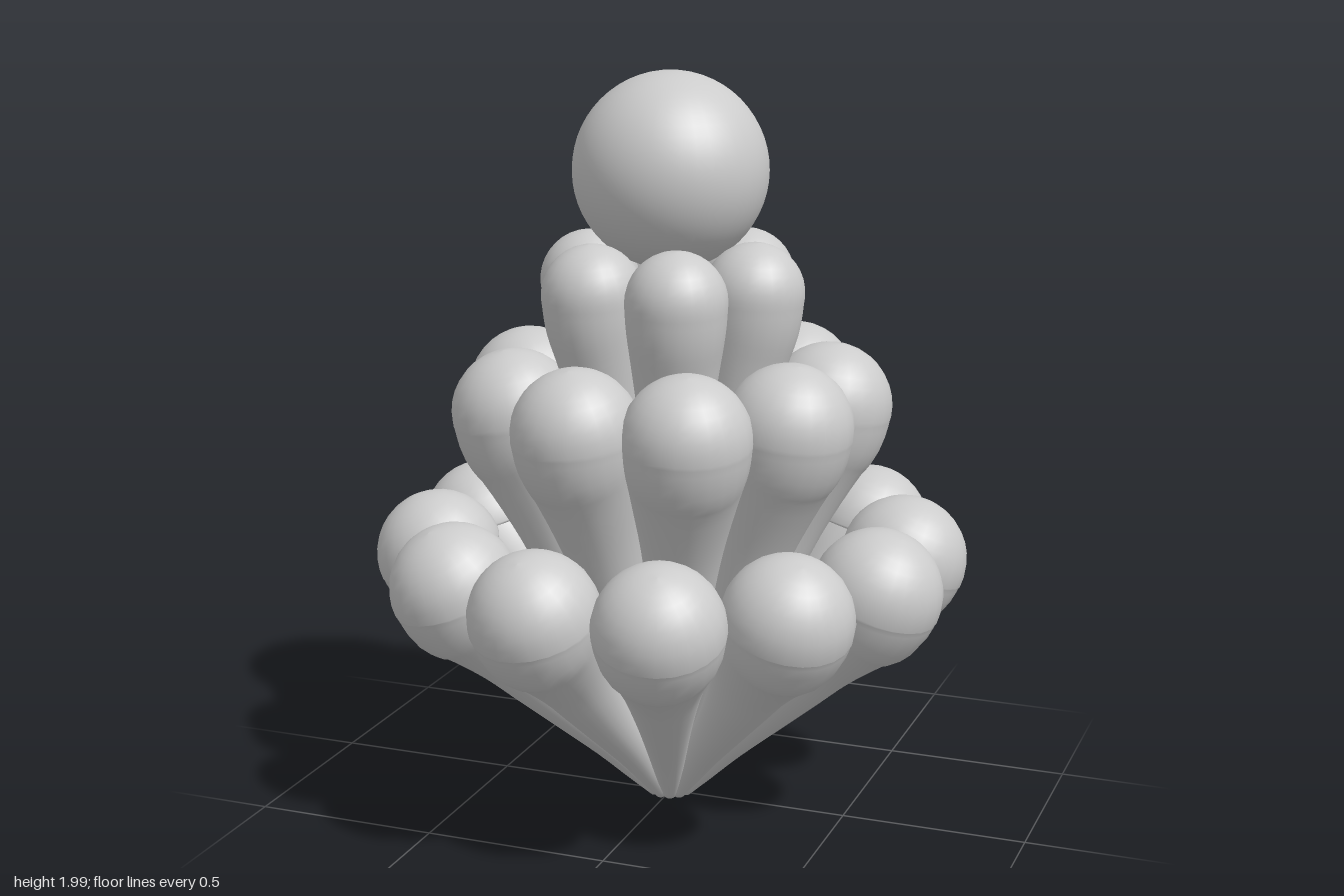
import * as THREE from 'three';

const SIDES = 24;

// Shared petal shape, as fractions of the tier's
// [distance from axis, height, head radius], from foot to head
const PROFILE = [
  [0.07, 0.03, 0.12], [0.16, 0.13, 0.2], [0.3, 0.28, 0.3], [0.5, 0.47, 0.42],
  [0.64, 0.61, 0.53], [0.755, 0.735, 0.655], [0.9, 0.885, 0.87],
  [0.975, 0.95, 0.965], [1, 1, 1],
];

// Tiers of petals, from the wide low one to the narrow high one
const TIERS = [
  { name: 'outerPetals', count: 12, turn: 12, reach: 0.63, height: 0.695, radius: 0.171 },
  { name: 'middlePetals', count: 9, turn: 24, reach: 0.422, height: 1.122, radius: 0.168 },
  { name: 'innerPetals', count: 6, turn: 6, reach: 0.242, height: 1.436, radius: 0.133 },
];

// Teardrop petal in the x-y plane: a tapering bent tube with a domed head
function petalGeometry({ reach, height, radius }) {
  const curve = new THREE.CatmullRomCurve3(PROFILE.map(
    ([x, y, r]) => new THREE.Vector3(x * reach, y * height, r * radius),
  ));
  const rings = []; // centre x, centre y, tangent x, tangent y, radius
  const steps = 28;
  for (let i = 0; i <= steps; i++) {
    const p = curve.getPoint(i / steps);
    const t = curve.getTangent(i / steps);
    const len = Math.hypot(t.x, t.y);
    rings.push([p.x, p.y, t.x / len, t.y / len, p.z]);
  }
  // closed foot
  const [fx, fy, ftx, fty] = rings[0];
  rings.unshift([fx, fy, ftx, fty, 0]);
  // domed head
  const [hx, hy, tx, ty, r] = rings[rings.length - 1];
  for (let i = 1; i <= 9; i++) {
    const a = (i / 9) * Math.PI / 2;
    const d = r * Math.sin(a);
    rings.push([hx + tx * d, hy + ty * d, tx, ty, r * Math.cos(a)]);
  }

  const positions = [];
  const indices = [];
  rings.forEach(([x, y, dx, dy, rad], j) => {
    for (let i = 0; i < SIDES; i++) {
      const a = (i / SIDES) * Math.PI * 2;
      const c = rad * Math.cos(a);
      positions.push(x + dy * c, y - dx * c, rad * Math.sin(a));
      if (j === rings.length - 1) continue;
      const p = j * SIDES + i;
      const q = j * SIDES + (i + 1) % SIDES;
      indices.push(p, p + SIDES, q, q, p + SIDES, q + SIDES);
    }
  });
  const geometry = new THREE.BufferGeometry();
  geometry.setAttribute('position', new THREE.Float32BufferAttribute(positions, 3));
  geometry.setIndex(indices);
  geometry.computeVertexNormals();
  return geometry;
}

export function createModel() {
  const model = new THREE.Group();
  model.name = 'petalOrnament';
  const material = new THREE.MeshStandardMaterial({ color: 0xcccccc });

  for (const tier of TIERS) {
    const group = new THREE.Group();
    group.name = tier.name;
    const geometry = petalGeometry(tier);
    for (let i = 0; i < tier.count; i++) {
      const petal = new THREE.Mesh(geometry, material);
      petal.name = 'petal';
      petal.rotation.y = -THREE.MathUtils.degToRad(tier.turn + (i * 360) / tier.count);
      group.add(petal);
    }
    model.add(group);
  }

  // Ball on top
  const ball = new THREE.Mesh(new THREE.SphereGeometry(0.258, 40, 28), material);
  ball.name = 'topBall';
  ball.position.y = 1.742;
  model.add(ball);

  return model;
}
